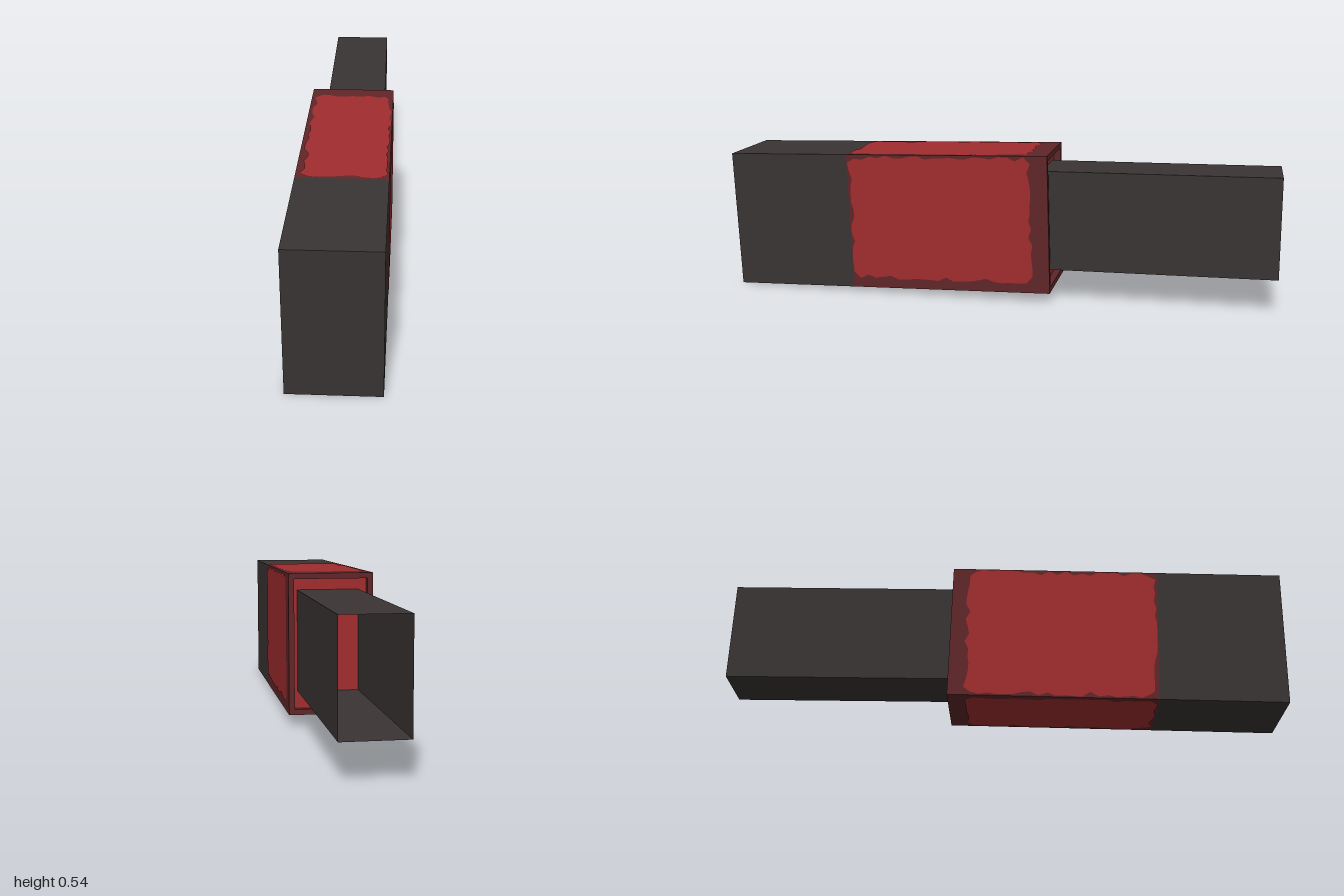
import * as THREE from 'three';

const charcoal = new THREE.MeshStandardMaterial({ name: 'charcoal', color: 0x3a3434, side: THREE.DoubleSide });
const red = new THREE.MeshStandardMaterial({ name: 'red', color: 0xa02c2e });
const wornRed = new THREE.MeshStandardMaterial({ name: 'wornRed', color: 0x602628 });

const W = 0.3, H = 0.5, REAR = -0.595, SEAM = 0.147, FRONT = 0.595, RECESS = 0.03;

// Small seeded generator for the chipped paint edges
let seed = 7;
const rand = () => (seed = (seed * 16807) % 2147483647) / 2147483647;

function add(parent, name, geometry, material, x = 0, y = 0, z = 0) {
  const mesh = new THREE.Mesh(geometry, material);
  mesh.name = name;
  mesh.position.set(x, y, z);
  parent.add(mesh);
  return mesh;
}

// Rectangle whose edges wander inwards; margins are [uMin, uMax, vMin, vMax]
function chippedShape(u0, u1, v0, v1, [a, b, c, d]) {
  const pts = [];
  u0 += a; u1 -= b; v0 += c; v1 -= d;
  const corners = [[u0, v0], [u1, v0], [u1, v1], [u0, v1]];
  corners.forEach(([x, y], i) => {
    const [nx, ny] = corners[(i + 1) % 4];
    const len = Math.hypot(nx - x, ny - y);
    const steps = Math.round(len / 0.03);
    const dx = (nx - x) / len, dy = (ny - y) / len;
    for (let k = 1; k < steps; k++) {
      const t = (k / steps) * len;
      const r = rand();
      const chip = 0.003 + 0.018 * r * r;
      pts.push(new THREE.Vector2(x + dx * t - dy * chip, y + dy * t + dx * chip));
    }
  });
  return new THREE.Shape(pts);
}

function rectPath(P, w, h) {
  return new P([[-w, -h], [w, -h], [w, h], [-w, h]].map(([x, y]) => new THREE.Vector2(x / 2, y / 2)));
}

function buildBody() {
  const body = new THREE.Group();
  body.name = 'body';
  body.position.set(-0.001, 0.2715, 0.3985);
  body.rotation.set(0.031, 0.019, 0);

  // Dark front block and the worn sleeve behind it
  add(body, 'frontBlock', new THREE.BoxGeometry(W, H, FRONT - SEAM), charcoal, 0, 0, (FRONT + SEAM) / 2);
  const start = REAR + RECESS;
  add(body, 'sleeve', new THREE.BoxGeometry(W, H, SEAM - start), wornRed, 0, 0, (SEAM + start) / 2);

  // Rear rim around a shallow red recess
  const rim = rectPath(THREE.Shape, W, H);
  rim.holes.push(rectPath(THREE.Path, W - 0.04, H - 0.04));
  add(body, 'rearRim', new THREE.ExtrudeGeometry(rim, { depth: RECESS, bevelEnabled: false }), wornRed, 0, 0, REAR);
  add(body, 'recessPlate', new THREE.BoxGeometry(W - 0.04, H - 0.04, 0.006), red, 0, 0, start - 0.002);

  // Red paint on the four sides, with chipped borders
  const sides = [
    ['leftPaint', [1, 0, 0], W, H, [0.055, 0.0, 0.0, 0.03]],
    ['rightPaint', [-1, 0, 0], W, H, [0.05, 0.0, 0.0, 0.0]],
    ['topPaint', [0, 1, 0], H, W, [0.06, 0.0, 0.008, 0.0]],
    ['bottomPaint', [0, -1, 0], H, W, [0.055, 0.0, 0.01, 0.01]],
  ];
  const U = new THREE.Vector3(0, 0, 1);
  for (const [name, n, thick, span, margins] of sides) {
    const N = new THREE.Vector3(...n);
    const V = N.clone().cross(U);
    const geo = new THREE.ShapeGeometry(chippedShape(REAR, SEAM, -span / 2, span / 2, margins));
    geo.applyMatrix4(new THREE.Matrix4().makeBasis(U, V, N));
    add(body, name, geo, red).position.copy(N.multiplyScalar(thick / 2 + 0.002));
  }
  return body;
}

export function createModel() {
  const model = new THREE.Group();
  model.name = 'boxedTube';
  model.add(buildBody());

  // Hollow rear tube: a box with its back face left off
  const tubeGeo = new THREE.BoxGeometry(0.217, 0.36, 0.84);
  tubeGeo.setIndex(Array.from(tubeGeo.index.array).slice(0, 30));
  tubeGeo.clearGroups();
  const tube = add(model, 'rearTube', tubeGeo, charcoal, -0.016, 0.305, -0.574);
  tube.rotation.set(0.0125, 0.03, 0);
  return model;
}
